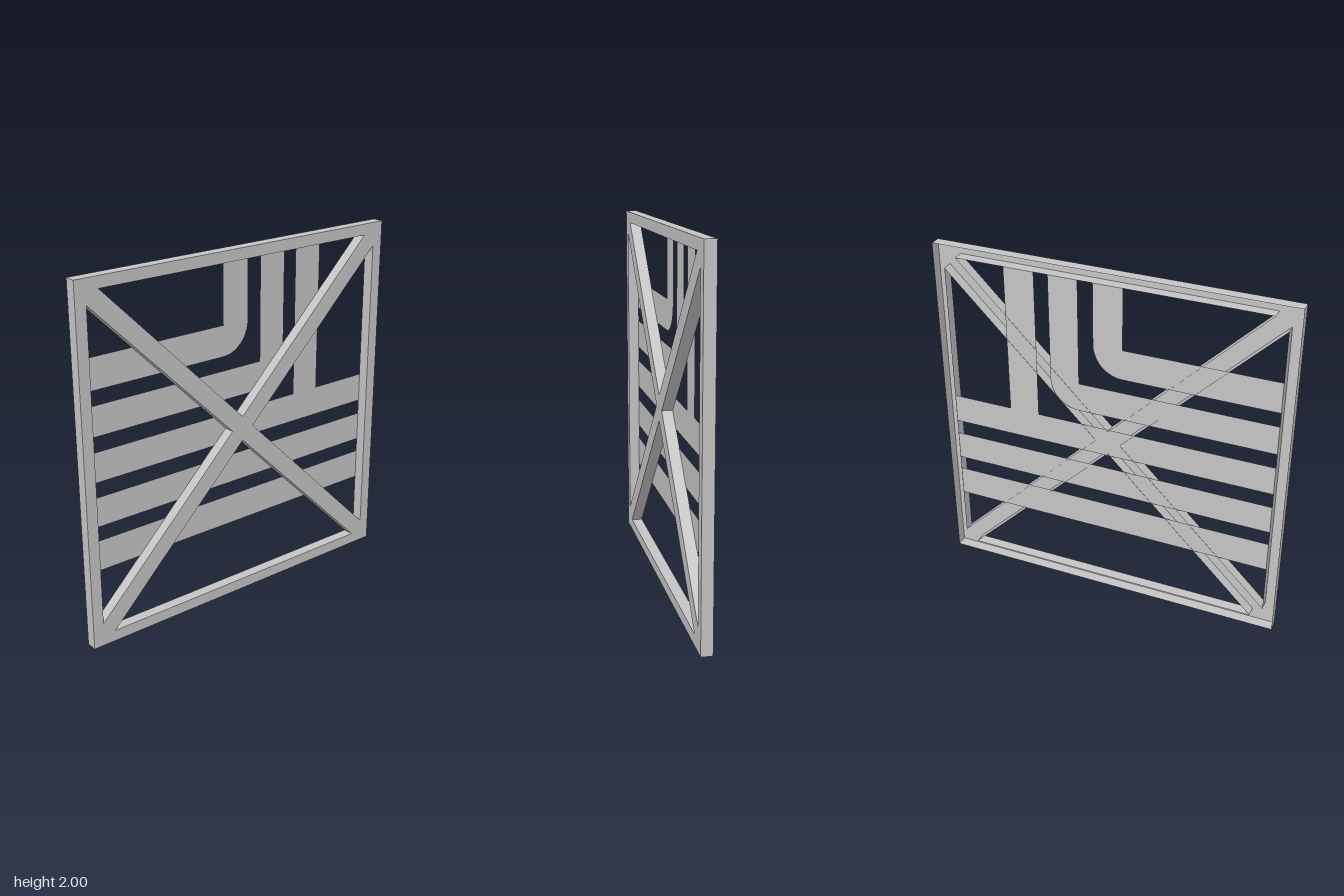
import * as THREE from 'three';

const HALF = 1 / 32;        // half the panel depth
const BACK = 0.002 - HALF;  // strips sit just inside the back edge of the walls
const IN = 1 - 1 / 16;      // inner edge of the border, measured from the centre
const OFF = 0.07;           // offset of a brace edge from its diagonal
const W = 1 / 12;           // half the width of an inner strip
const V = 0.087;            // half the width of an outer strip

// Side walls along a closed loop of [x, y] points, running the full depth
function wallGeometry(points) {
  const pos = [];
  points.forEach(([ax, ay], i) => {
    const [bx, by] = points[(i + 1) % points.length];
    pos.push(ax, ay, HALF, ax, ay, -HALF, bx, by, -HALF);
    pos.push(ax, ay, HALF, bx, by, -HALF, bx, by, HALF);
  });
  const g = new THREE.BufferGeometry();
  g.setAttribute('position', new THREE.Float32BufferAttribute(pos, 3));
  g.computeVertexNormals();
  return g;
}

const shapeOf = (points) => new THREE.Shape(points.map(([x, y]) => new THREE.Vector2(x, y)));
const flatGeometry = (points) => new THREE.ShapeGeometry(shapeOf(points));

export function createModel() {
  const model = new THREE.Group();
  model.name = 'bracedPanel';
  const grey = new THREE.MeshStandardMaterial({ color: 0xc4c4c4, side: THREE.DoubleSide });
  grey.name = 'lightGrey';

  const add = (name, geometry, z = 0) => {
    const mesh = new THREE.Mesh(geometry, grey);
    mesh.name = name;
    mesh.position.z = z;
    model.add(mesh);
  };

  // Border and cross braces: a front sheet with four triangular openings, hollow behind
  const outer = [[-1, 0], [1, 0], [1, 2], [-1, 2]];
  const sheet = shapeOf(outer);
  const a = IN - OFF;
  ['top', 'right', 'bottom', 'left'].forEach((side, i) => {
    const c = Math.round(Math.cos(i * Math.PI / 2));
    const s = Math.round(Math.sin(i * Math.PI / 2));
    const opening = [[-a, IN], [a, IN], [0, OFF]]
      .map(([x, y]) => [x * c + y * s, 1 - x * s + y * c]);
    sheet.holes.push(new THREE.Path(opening.map(([x, y]) => new THREE.Vector2(x, y))));
    add(side + 'OpeningWalls', wallGeometry(opening));
  });
  add('frontFrameAndBraces', new THREE.ShapeGeometry(sheet), HALF);
  add('outerWalls', wallGeometry(outer));

  // Flat strips across the back: two straight ones
  [[0.5, V], [0.75, W]].forEach(([y, h], i) => {
    add('straightStrip' + (i + 1), flatGeometry([[-IN, y - h], [IN, y - h], [IN, y + h], [-IN, y + h]]), BACK);
  });

  // Strip with an upright branch to the top border
  add('branchStrip', flatGeometry([
    [-IN, 1 - W], [IN, 1 - W], [IN, 1 + W], [0.5 + V, 1 + W], [0.5 + V, 1 + IN],
    [0.5 - V, 1 + IN], [0.5 - V, 1 + W], [-IN, 1 + W],
  ]), BACK);

  // Strips that turn upward, rounded on the outside of the bend
  [[0, 1.5, V], [0.25, 1.25, W]].forEach(([x, y, h], i) => {
    const s = new THREE.Shape();
    s.moveTo(-IN, y - h);
    s.lineTo(x - W, y - h);
    s.absellipse(x - W, y + h, 2 * W, 2 * h, -Math.PI / 2, 0, false);
    s.lineTo(x + W, 1 + IN);
    s.lineTo(x - W, 1 + IN);
    s.lineTo(x - W, y + h);
    s.lineTo(-IN, y + h);
    add('bentStrip' + (i + 1), new THREE.ShapeGeometry(s, 8), BACK);
  });

  return model;
}
